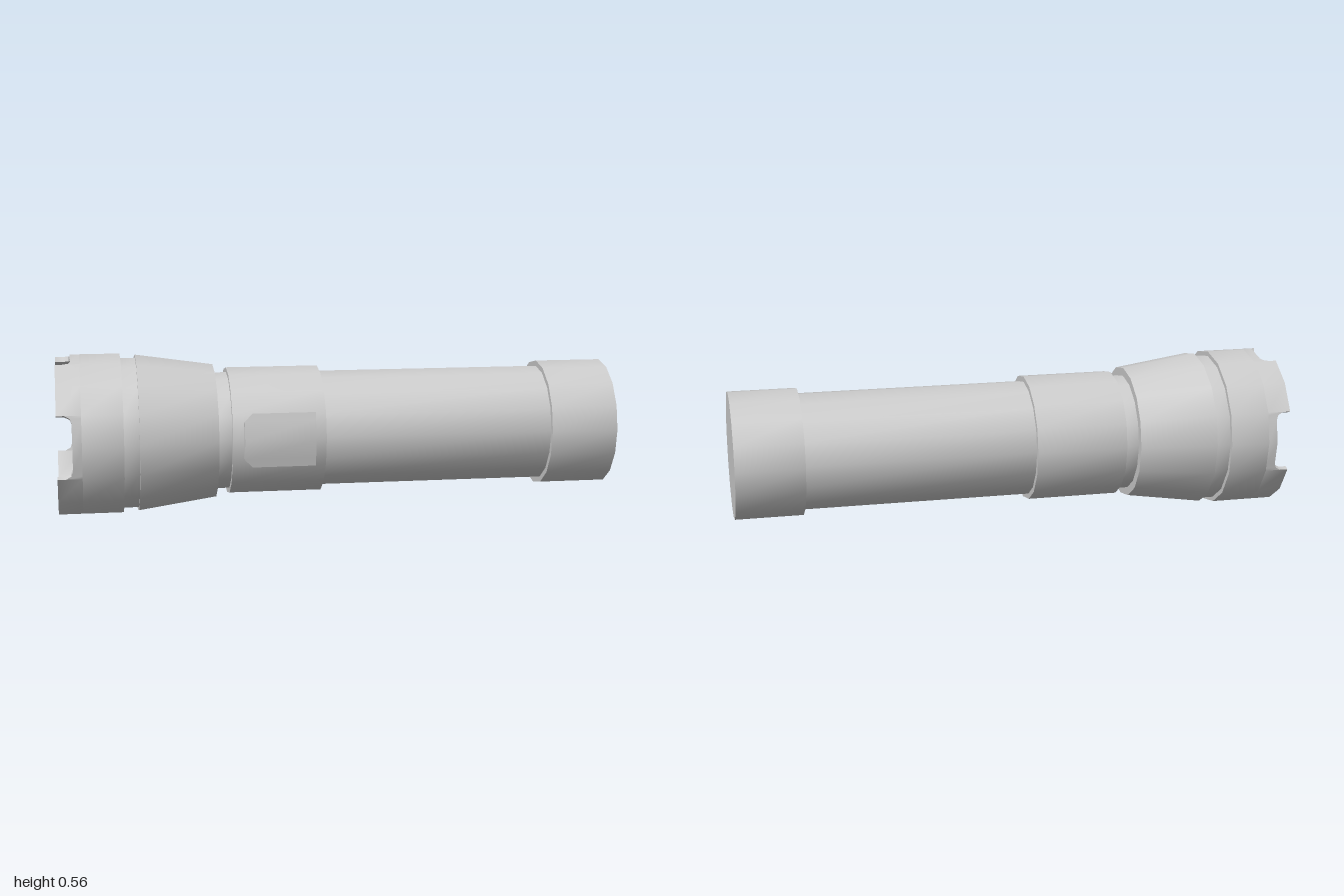
import * as THREE from 'three';
import { toCreasedNormals } from 'three/addons/utils/BufferGeometryUtils.js';

const SIDES = 16;
const CREASE = 0.5;

export function createModel() {
  const model = new THREE.Group();
  model.name = 'flashlight';
  const material = new THREE.MeshStandardMaterial({ color: 0xcccccc });

  // Turns a shape made around y so that its axis runs along x
  function add(name, geometry) {
    const mesh = new THREE.Mesh(toCreasedNormals(geometry.rotateZ(-Math.PI / 2), CREASE), material);
    mesh.name = name;
    model.add(mesh);
  }

  // Turned part from [radius, position along the axis] points
  function turned(name, points) {
    add(name, new THREE.LatheGeometry(points.map(([r, u]) => new THREE.Vector2(r, u)), SIDES));
  }

  // Surface through profiles placed at angles, following the facets of the 16-sided body
  function swept(name, sections) {
    const positions = [];
    const indices = [];
    const step = (Math.PI * 2) / SIDES;
    const n = sections[0].points.length;
    sections.forEach(({ deg, points }, i) => {
      const a = THREE.MathUtils.degToRad(deg);
      const facet = Math.cos(step / 2) / Math.cos(THREE.MathUtils.euclideanModulo(a, step) - step / 2);
      for (const [r, u] of points) positions.push(r * facet * Math.sin(a), u, r * facet * Math.cos(a));
      if (i === sections.length - 1) return;
      for (let j = 0; j < n - 1; j++) {
        const p = i * n + j;
        const q = p + n;
        indices.push(p, q, p + 1, q + 1, p + 1, q);
      }
    });
    const geometry = new THREE.BufferGeometry();
    geometry.setAttribute('position', new THREE.Float32BufferAttribute(positions, 3));
    geometry.setIndex(indices);
    add(name, geometry);
  }

  // Head, from the recessed lens back to the grip
  turned('lens', [[0, -0.84], [0.26, -0.84], [0.26, -0.88]]);
  turned('headRing', [[0.278, -0.88], [0.278, -0.742], [0.262, -0.742]]);
  turned('headGroove', [[0.262, -0.742], [0.262, -0.69]]);
  turned('headCone', [[0.262, -0.69], [0.273, -0.69], [0.234, -0.423], [0.205, -0.423]]);
  turned('neckGroove', [[0.205, -0.423], [0.205, -0.376]]);

  // Grip and tail
  turned('collar', [[0.205, -0.376], [0.222, -0.376], [0.222, -0.056], [0.203, -0.056]]);
  turned('barrel', [[0.203, -0.056], [0.203, 0.742]]);
  turned('tailCap', [[0.203, 0.742], [0.222, 0.742], [0.222, 0.977], [0, 0.977]]);

  // Crenellated rim: four notches with rounded inner corners
  const half = [[0, -0.911], [17, -0.911], [20.5, -0.917], [22.5, -0.935], [22.5, -0.962], [45, -0.962]];
  const quarter = [...half, ...half.slice(0, -1).reverse().map(([deg, u]) => [90 - deg, u])];
  const rim = [];
  for (let k = 0; k < 4; k++) {
    for (const [deg, u] of quarter) {
      rim.push({ deg: deg + k * 90, points: [[0.26, -0.88], [0.26, u], [0.278, u], [0.278, -0.88]] });
    }
  }
  swept('notchedRim', rim);

  // Curved switch plate with clipped corners at the head end
  const plate = [
    [-22.5, -0.31, 0.2], [-22.5, -0.31, 0.241], [-16, -0.337, 0.241], [0, -0.337, 0.241],
    [16, -0.337, 0.241], [22.5, -0.31, 0.241], [22.5, -0.31, 0.2],
  ];
  swept('switch', plate.map(([deg, u, r]) => ({
    deg, points: [[0.2, u], [r, u], [r, -0.094], [0.2, -0.094]],
  })));

  // Lying at a slight angle
  model.rotation.y = -Math.PI / 12;
  model.position.set(0, 0.28, 0.008);
  const root = new THREE.Group();
  root.add(model);
  return root;
}
